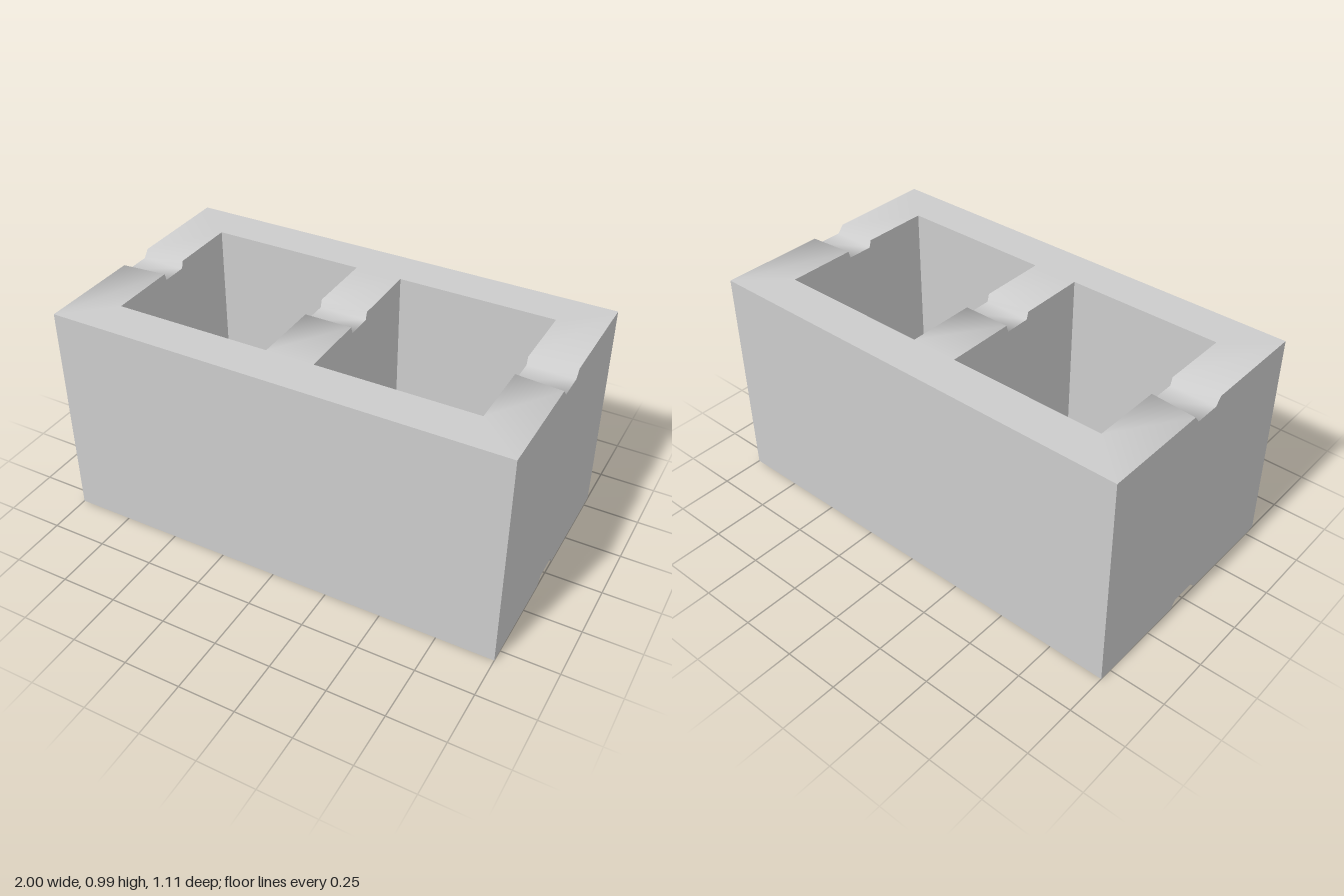
import * as THREE from 'three';
import { toCreasedNormals } from 'three/addons/utils/BufferGeometryUtils.js';

const H = 0.985;            // block height
const OUT = 0.557;          // outer half depth
const IN = 0.375;           // half depth of the cells
const NOTCH = 0.033;        // notch depth
const material = new THREE.MeshStandardMaterial({ color: 0xcccccc });

// Long wall with mitred ends, facing +z
function wallGeometry() {
  const shape = new THREE.Shape([
    new THREE.Vector2(-1, -OUT), new THREE.Vector2(1, -OUT),
    new THREE.Vector2(0.8, -IN), new THREE.Vector2(-0.8, -IN),
  ]);
  return new THREE.ExtrudeGeometry(shape, { depth: H, bevelEnabled: false }).rotateX(-Math.PI / 2);
}

// Cross web from x0 to x1, notched above and below.
// On an outer side it reaches the block corner and the notch flares wider.
function webGeometry(x0, x1, outer0, outer1) {
  const profile = (outer) => [
    outer ? OUT : IN, outer ? 0.088 : 0.07, 0.06,
    -0.056, outer ? -0.082 : -0.066, outer ? -OUT : -IN,
  ];
  const za = profile(outer0), zb = profile(outer1);
  const inset = [0, 0, NOTCH, NOTCH, 0, 0];
  const rings = inset.map((d, i) => [
    [x0, H - d, za[i]], [x1, H - d, zb[i]], [x1, d, zb[i]], [x0, d, za[i]],
  ]);
  const positions = [];
  for (let i = 0; i < rings.length - 1; i++) {
    for (let j = 0; j < 4; j++) {
      const k = (j + 1) % 4;
      const a = rings[i][j], b = rings[i][k], c = rings[i + 1][k], d = rings[i + 1][j];
      positions.push(...a, ...b, ...c, ...a, ...c, ...d);
    }
  }
  const geometry = new THREE.BufferGeometry();
  geometry.setAttribute('position', new THREE.Float32BufferAttribute(positions, 3));
  // Soft across the notch slopes, sharp at the right-angled edges
  return toCreasedNormals(geometry, 1.35);
}

export function createModel() {
  const block = new THREE.Group();
  block.name = 'concreteBlock';
  const add = (name, geometry) => {
    const mesh = new THREE.Mesh(geometry, material);
    mesh.name = name;
    block.add(mesh);
  };

  // Front and back walls
  add('frontWall', wallGeometry());
  add('backWall', wallGeometry().rotateY(Math.PI));

  // Notched webs between the walls
  add('rightEndWeb', webGeometry(-1, -0.8, true, false));
  add('middleWeb', webGeometry(-0.105, 0.105, false, false));
  add('leftEndWeb', webGeometry(0.8, 1, false, true));
  return block;
}
